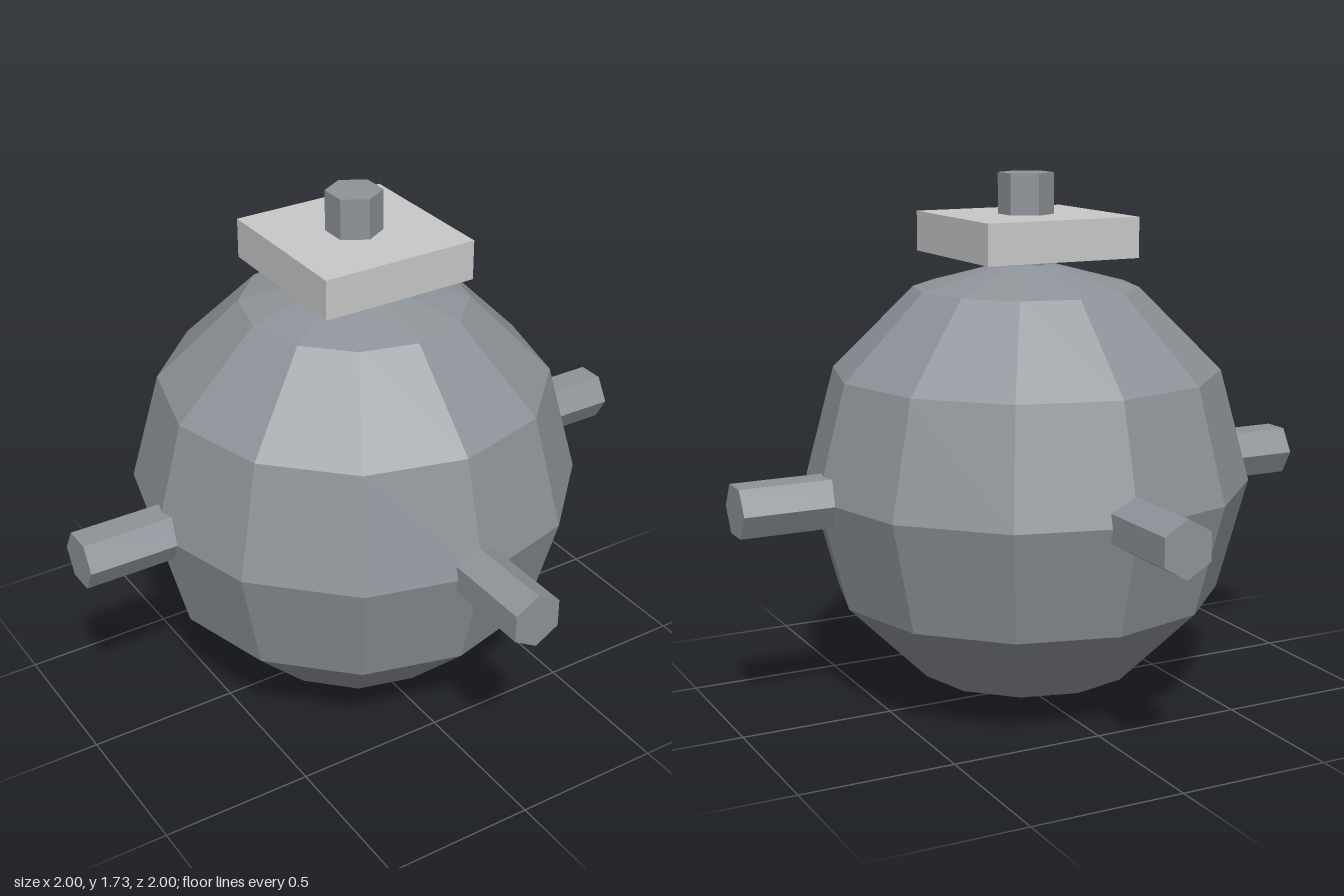
import * as THREE from 'three';

export function createModel() {
  const model = new THREE.Group();
  const steel = new THREE.MeshStandardMaterial({ color: 0x8e9399, flatShading: true });
  steel.name = 'blue grey steel';
  const plate = new THREE.MeshStandardMaterial({ color: 0xc8c8c8, flatShading: true });
  plate.name = 'light grey plate';

  const radius = 0.732;
  const centreY = 0.732;

  function add(name, geometry, material, x, y, z) {
    const mesh = new THREE.Mesh(geometry, material);
    mesh.name = name;
    mesh.position.set(x, y, z);
    model.add(mesh);
    return mesh;
  }

  // Faceted round body
  add('body', new THREE.SphereGeometry(radius, 12, 6), steel, 0, centreY, 0);

  // Square collar above the body
  add('collar', new THREE.BoxGeometry(0.53, 0.13, 0.53), plate, 0, 1.535, 0);

  // Hexagonal pins, sunk into the body
  const inner = 0.6;
  const length = 1 - inner;
  const mid = inner + length / 2;
  const pin = new THREE.CylinderGeometry(0.09, 0.09, length, 6);
  add('topPin', pin, steel, 0, centreY + mid, 0);
  for (const side of [1, -1]) {
    add(side > 0 ? 'leftPin' : 'rightPin', pin, steel, side * mid, centreY, 0)
      .rotation.z = -side * Math.PI / 2;
    add(side > 0 ? 'frontPin' : 'backPin', pin, steel, 0, centreY, side * mid)
      .rotation.x = side * Math.PI / 2;
  }
  return model;
}
